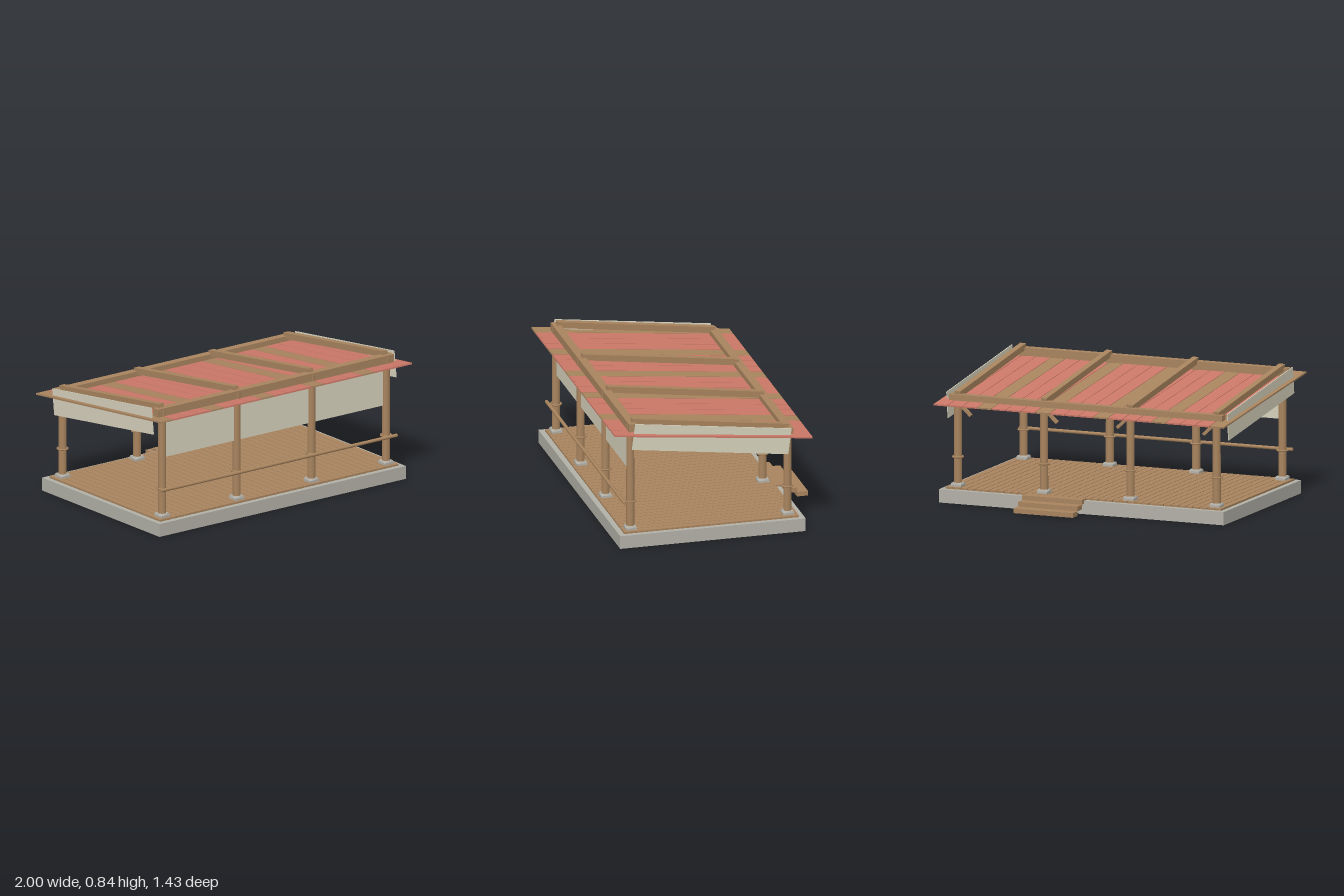
import * as THREE from 'three';

const mat = (name, color, extra = {}) => {
  const m = new THREE.MeshStandardMaterial({ color, ...extra });
  m.name = name;
  return m;
};

export function createModel() {
  const wood = mat('wood', 0xa8845e);
  const red = mat('red roof paint', 0xcb7867);
  const concrete = mat('concrete', 0xb2b0a7);
  const canvas = mat('canvas', 0xd6d1bc);

  const model = new THREE.Group();
  model.name = 'openPavilion';

  const add = (name, geo, material, x, y, z, rx = 0, rz = 0) => {
    const m = new THREE.Mesh(geo, material);
    m.name = name;
    m.position.set(x, y, z);
    m.rotation.set(rx, 0, rz);
    model.add(m);
    return m;
  };
  const box = (name, material, size, pos, rx, rz) =>
    add(name, new THREE.BoxGeometry(...size), material, ...pos, rx, rz);

  // Foundation slab
  box('foundation', concrete, [1.96, 0.085, 1.21], [0, 0.0425, 0.07]);

  // Deck boards running front to back
  const deckCount = 38, deckPitch = 0.05;
  for (let i = 0; i < deckCount; i++) {
    const x = (i - (deckCount - 1) / 2) * deckPitch;
    box('deckBoard', wood, [deckPitch - 0.005, 0.014, 1.14], [x, 0.09, 0.07]);
  }

  // Back steps
  for (let i = 0; i < 3; i++) {
    box('step', wood, [0.41, 0.03, 0.072], [0.185, 0.081 - i * 0.03, -0.535 - i * 0.07]);
  }

  // Posts with footings and collars
  const postX = [-0.89, -0.297, 0.297, 0.89];
  const rows = [{ z: 0.585, top: 0.8 }, { z: -0.44, top: 0.67 }];
  const footing = new THREE.CylinderGeometry(0.042, 0.05, 0.01, 4).rotateY(Math.PI / 4);
  for (const { z, top } of rows) {
    for (const x of postX) {
      const h = top - 0.1;
      add('post', new THREE.CylinderGeometry(0.025, 0.026, h, 16), wood, x, 0.1 + h / 2, z);
      box('footing', concrete, [0.07, 0.016, 0.07], [x, 0.103, z]);
      add('footingCap', footing, concrete, x, 0.116, z);
      add('postCollar', new THREE.TorusGeometry(0.033, 0.006, 8, 20), wood, x, 0.285, z, Math.PI / 2);
    }
  }

  // Short braces leaning inward at the back posts
  for (const x of postX) {
    const s = Math.sign(x);
    box('brace', wood, [0.11, 0.02, 0.02], [x - s * 0.05, 0.59, -0.44], 0, s * 0.75);
  }

  // Front rail
  add('rail', new THREE.CylinderGeometry(0.011, 0.011, 1.88, 12), wood, 0, 0.285, 0.632, 0, Math.PI / 2);

  // Long beams over the posts
  box('frontBeam', wood, [1.88, 0.052, 0.052], [0, 0.789, 0.58]);
  box('backBeam', wood, [1.88, 0.058, 0.052], [0, 0.657, -0.442]);

  // Rafters
  for (const x of postX) {
    box('rafter', wood, [0.04, 0.04, 1.033], [x, 0.752, 0.067], -0.132);
  }

  // Sloping roof boards, every fourth one bare wood
  for (let i = 0; i < 20; i++) {
    box('roofBoard', i % 4 === 0 ? wood : red, [0.096, 0.01, 1.297],
      [-0.95 + i * 0.1, 0.7, 0.07], -0.106);
  }

  // Canvas screens: front and both sides
  box('frontScreen', canvas, [1.78, 0.265, 0.006], [0, 0.6175, 0.585]);
  for (const s of [-1, 1]) {
    box('sideScreen', canvas, [0.006, 0.172, 1.028], [s * 0.965, 0.674, 0.074], -0.127);
  }

  return model;
}
